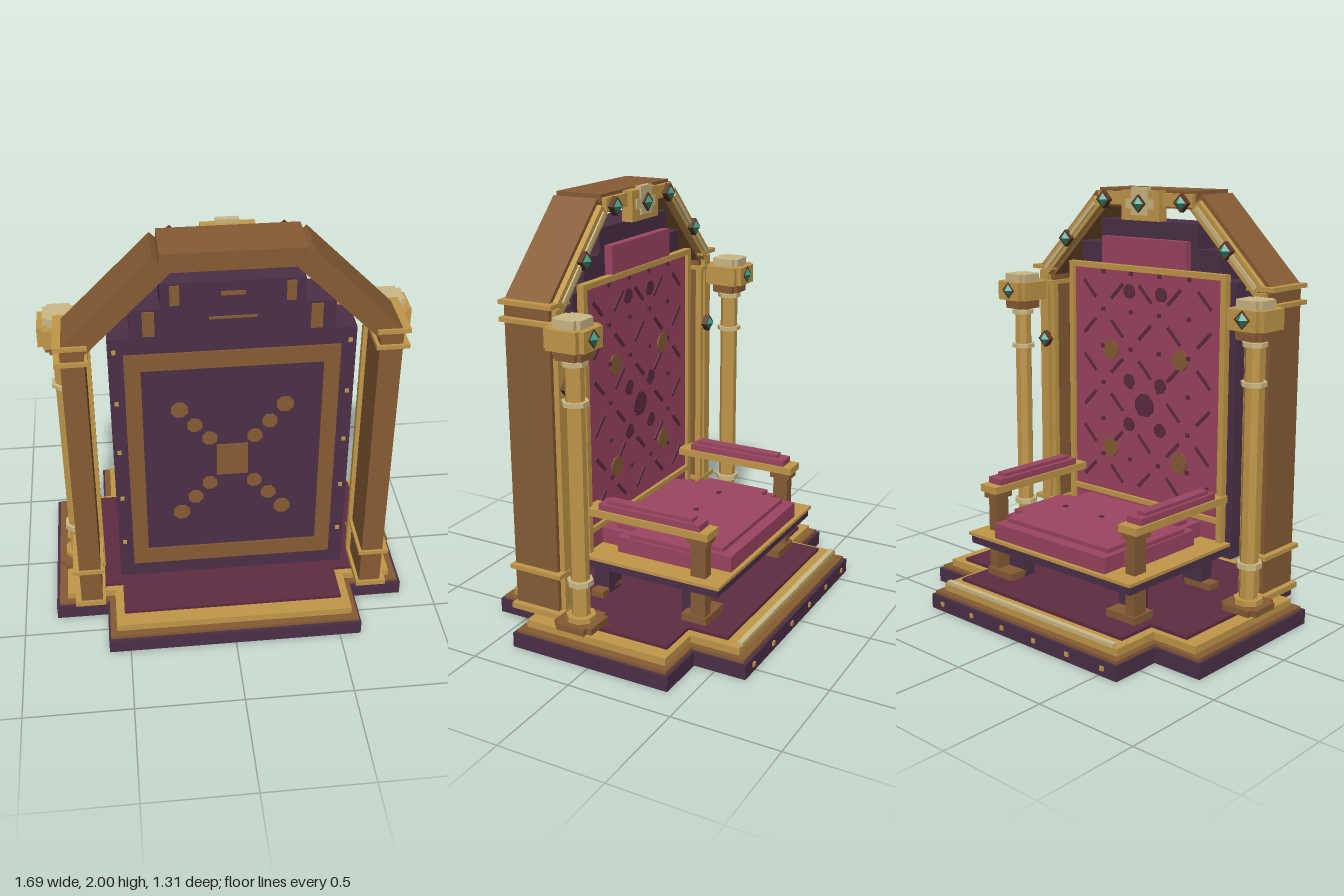
import * as THREE from 'three';

const mat = (name, color) => Object.assign(new THREE.MeshStandardMaterial({ color }), { name });
const M = {
  plum: mat('plum wood', 0x4b3047),
  carpet: mat('wine carpet', 0x5f2b41),
  rose: mat('rose velvet', 0x9d4561),
  gold: mat('gold', 0xc2984a),
  pale: mat('pale gold', 0xcbb885),
  brown: mat('brown wood', 0x875c34),
  dark: mat('dark bronze', 0x5a3828),
  teal: mat('teal gem', 0x2f8c74),
};

export function createModel() {
  const root = new THREE.Group();
  const add = (name, geo, m, x = 0, y = 0, z = 0, parent = root) => {
    const mesh = new THREE.Mesh(geo, m);
    mesh.name = name;
    mesh.position.set(x, y, z);
    parent.add(mesh);
    return mesh;
  };
  // Box given by its limits
  const box = (name, m, x0, x1, y0, y1, z0, z1, parent) =>
    add(name, new THREE.BoxGeometry(x1 - x0, y1 - y0, z1 - z0), m,
      (x0 + x1) / 2, (y0 + y1) / 2, (z0 + z1) / 2, parent);
  // Notched (plus-shaped) slab: half sizes a,b with corner notches p,q
  const slab = (name, m, a, b, p, q, y0, y1, x = 0, z = 0, parent = root) => {
    const c = a - p, d = b - q;
    const s = new THREE.Shape([[a, -d], [a, d], [c, d], [c, b], [-c, b], [-c, d], [-a, d], [-a, -d],
      [-c, -d], [-c, -b], [c, -b], [c, -d]].map(v => new THREE.Vector2(...v)));
    const g = new THREE.ExtrudeGeometry(s, { depth: y1 - y0, bevelEnabled: false }).rotateX(-Math.PI / 2);
    return add(name, g, m, x, y0, z, parent);
  };
  // Diamond gem in a bronze setting, facing -z
  const gem = (x, y, z) => {
    const g = new THREE.Group();
    g.name = 'gem';
    g.position.set(x, y, z);
    root.add(g);
    add('gemSetting', new THREE.BoxGeometry(0.06, 0.06, 0.03), M.dark, 0, 0, 0.015, g).rotation.z = Math.PI / 4;
    add('gemStone', new THREE.OctahedronGeometry(0.032).scale(1, 1, 0.7), M.teal, 0, 0, 0, g);
  };

  // Stepped plinth
  slab('plinth', M.plum, 0.845, 0.65, 0.245, 0.25, 0, 0.07);
  slab('plinthEdge', M.brown, 0.83, 0.635, 0.24, 0.25, 0.07, 0.085);
  slab('plinthStep', M.gold, 0.79, 0.6, 0.23, 0.24, 0.085, 0.12);
  slab('carpet', M.carpet, 0.72, 0.525, 0.2, 0.195, 0.12, 0.135);
  box('frontStrip', M.pale, -0.54, 0.54, 0.12, 0.138, -0.605, -0.58);
  for (const x of [-0.52, -0.312, -0.104, 0.104, 0.312, 0.52])
    box('plinthStud', M.gold, x - 0.01, x + 0.01, 0.028, 0.048, -0.657, -0.65);

  // Seat
  box('seatFrame', M.plum, -0.51, 0.51, 0.305, 0.345, -0.465, 0.25);
  box('seatRim', M.gold, -0.52, 0.52, 0.345, 0.36, -0.475, 0.25);
  slab('seatCushion', M.rose, 0.41, 0.345, 0.055, 0.13, 0.36, 0.435, 0, -0.11);
  slab('seatCushionTop', M.rose, 0.4, 0.28, 0.075, 0.115, 0.435, 0.455, 0, -0.12);
  for (const x of [-0.24, 0, 0.24]) box('seatButton', M.carpet, x - 0.01, x + 0.01, 0.455, 0.462, -0.1, -0.08);

  // Parts mirrored left and right
  for (const s of [-1, 1]) {
    const side = (name, m, x0, x1, ...r) => box(name, m, Math.min(s * x0, s * x1), Math.max(s * x0, s * x1), ...r);
    // Legs and armrest
    side('rearLeg', M.plum, 0.31, 0.42, 0.135, 0.305, 0.15, 0.23);
    side('rearFoot', M.brown, 0.31, 0.475, 0.135, 0.165, 0.15, 0.215);
    side('frontLeg', M.plum, 0.31, 0.42, 0.135, 0.305, -0.31, -0.24);
    side('frontFoot', M.brown, 0.31, 0.478, 0.135, 0.17, -0.395, -0.27);
    side('armPost', M.brown, 0.415, 0.47, 0.135, 0.555, -0.385, -0.31);
    side('armPostCap', M.brown, 0.405, 0.485, 0.525, 0.555, -0.4, -0.295);
    side('armRail', M.gold, 0.395, 0.5, 0.555, 0.59, -0.41, 0.25);
    side('armPad', M.rose, 0.405, 0.49, 0.59, 0.62, -0.365, 0.155);
    side('armPadTop', M.rose, 0.425, 0.475, 0.62, 0.637, -0.32, 0.12);

    // Arch pillar with bands and trim
    side('archPillar', M.brown, 0.62, 0.72, 0.135, 1.56, 0.23, 0.46);
    side('pillarTrim', M.gold, 0.645, 0.7, 0.165, 1.56, 0.205, 0.23);
    side('pillarTrimEdge', M.gold, 0.6, 0.625, 0.165, 1.5, 0.205, 0.235);
    for (const [y0, y1] of [[0.135, 0.162], [0.335, 0.355], [1.492, 1.512], [1.568, 1.588]])
      side('pillarBand', M.gold, 0.605, 0.748, y0, y1, 0.2, 0.47);

    // Sloping arch beam with trim
    const slope = new THREE.Group();
    slope.name = 'archSlope';
    slope.position.set(s * 0.485, 1.745, 0);
    slope.rotation.z = -s * Math.PI / 4;
    root.add(slope);
    box('slopeBeam', M.brown, -0.275, 0.275, -0.05, 0.05, 0.231, 0.459, slope);
    box('slopeTrim', M.gold, -0.255, 0.255, -0.032, 0.032, 0.205, 0.231, slope);
    box('slopeRidge', M.pale, -0.24, 0.24, -0.01, 0.01, 0.197, 0.205, slope);

    // Free-standing column
    const cx = s * 0.727, cz = 0.105;
    const ring = (name, m, r, y0, y1) => add(name,
      new THREE.CylinderGeometry(r, r, y1 - y0, 8).rotateY(Math.PI / 8).toNonIndexed(), m, cx, (y0 + y1) / 2, cz)
      .geometry.computeVertexNormals();
    ring('columnShaft', M.gold, 0.043, 0.135, 1.42);
    ring('columnBase', M.gold, 0.068, 0.165, 0.19);
    ring('columnBand', M.pale, 0.06, 0.335, 0.36);
    ring('columnBand', M.pale, 0.06, 1.17, 1.19);
    ring('columnBand', M.pale, 0.058, 1.345, 1.365);
    slab('columnFoot', M.brown, 0.095, 0.097, 0.025, 0.025, 0.135, 0.165, cx, cz);
    slab('columnNeck', M.brown, 0.07, 0.07, 0.02, 0.02, 1.375, 1.42, cx, cz);
    slab('columnCapital', M.gold, 0.097, 0.1, 0.025, 0.025, 1.42, 1.512, cx, cz);
    slab('columnCap', M.pale, 0.07, 0.07, 0.02, 0.02, 1.512, 1.55, cx, cz);
    gem(cx, 1.47, 0.003);
    gem(s * 0.65, 1.21, 0.18);
    gem(s * 0.495, 1.735, 0.18);
    gem(s * 0.24, 1.935, 0.18);
  }

  // Top of the arch and crown piece
  box('archTop', M.brown, -0.3, 0.3, 1.905, 1.99, 0.23, 0.46);
  box('archTopTrim', M.gold, -0.29, 0.29, 1.915, 1.975, 0.205, 0.23);
  box('crownPlate', M.gold, -0.115, 0.115, 1.845, 1.985, 0.18, 0.235);
  box('crownBarTall', M.pale, -0.05, 0.05, 1.87, 2, 0.172, 0.2);
  box('crownBarWide', M.pale, -0.085, 0.085, 1.9, 1.945, 0.174, 0.182);
  gem(0, 1.925, 0.162);

  // Backrest panel in three tiers
  for (const [w, y0, y1] of [[0.525, 0.28, 1.59], [0.43, 1.59, 1.725], [0.3, 1.725, 1.84]])
    box('backPanel', M.plum, -w, w, y0, y1, 0.24, 0.43);
  box('backCushion', M.rose, -0.46, 0.46, 0.36, 1.6, 0.222, 0.24);
  box('headCushion', M.rose, -0.26, 0.26, 1.63, 1.76, 0.2, 0.24);
  for (const s of [-1, 1]) box('backTrim', M.gold, s * 0.475 - 0.015, s * 0.475 + 0.015, 0.36, 1.62, 0.205, 0.24);
  box('backTrimTop', M.gold, -0.49, 0.49, 1.598, 1.625, 0.205, 0.24);
  box('backTrimBottom', M.gold, -0.46, 0.46, 0.45, 0.475, 0.205, 0.24);

  // Quilting strokes and buttons on the back cushion
  for (let r = 0; r < 6; r++) for (let c = 0; c < 5; c++) {
    const x = (c - 2) * 0.18, y = 0.57 + r * 0.185;
    add('quiltStroke', new THREE.BoxGeometry(0.11, 0.016, 0.008), M.carpet, x, y, 0.221)
      .rotation.z = ((r + c) % 2 ? 1 : -1) * Math.PI / 4;
    if (c < 4) box('quiltButton', M.carpet, x + 0.08, x + 0.1, y + 0.08, y + 0.1, 0.213, 0.222);
  }
  const patch = (m, x, y, r) => add('cushionPatch', new THREE.CylinderGeometry(r, r, 0.008, 8)
    .rotateX(Math.PI / 2).rotateZ(Math.PI / 8), m, x, y, 0.219);
  for (const s of [-1, 1]) {
    for (const y of [0.7, 1.2]) patch(M.brown, s * 0.22, y, 0.05);
    for (const y of [0.84, 1.06, 1.5]) patch(M.carpet, s * 0.1, y, 0.036);
  }
  patch(M.carpet, 0, 0.95, 0.06);

  // Inlays on the rear of the panel
  const inlay = (x0, x1, y0, y1, m = M.brown) => box('rearInlay', m, x0, x1, y0, y1, 0.43, 0.437);
  inlay(-0.46, 0.46, 0.355, 0.44);
  inlay(-0.46, 0.46, 1.43, 1.512);
  for (const s of [-1, 1]) {
    inlay(s * 0.425 - 0.035, s * 0.425 + 0.035, 0.44, 1.43);
    inlay(s * 0.35 - 0.025, s * 0.35 + 0.025, 1.6, 1.715);
    inlay(s * 0.24 - 0.02, s * 0.24 + 0.02, 1.74, 1.83);
    for (const y of [0.49, 0.75, 1.01, 1.27, 1.53])
      inlay(s * 0.498 - 0.009, s * 0.498 + 0.009, y - 0.009, y + 0.009, M.gold);
    for (const t of [-1, 1])
      for (const [x, y, r] of [[0.1, 0.125, 0.036], [0.165, 0.2, 0.036], [0.23, 0.285, 0.04]])
        add('rearCross', new THREE.CylinderGeometry(r, r, 0.007, 8).rotateX(Math.PI / 2).rotateZ(Math.PI / 8),
          M.brown, s * x, 0.935 + t * y, 0.4335);
  }
  inlay(-0.07, 0.07, 0.855, 1.02);
  inlay(-0.05, 0.05, 1.778, 1.795);
  inlay(-0.1, 0.1, 1.668, 1.678);
  return root;
}
